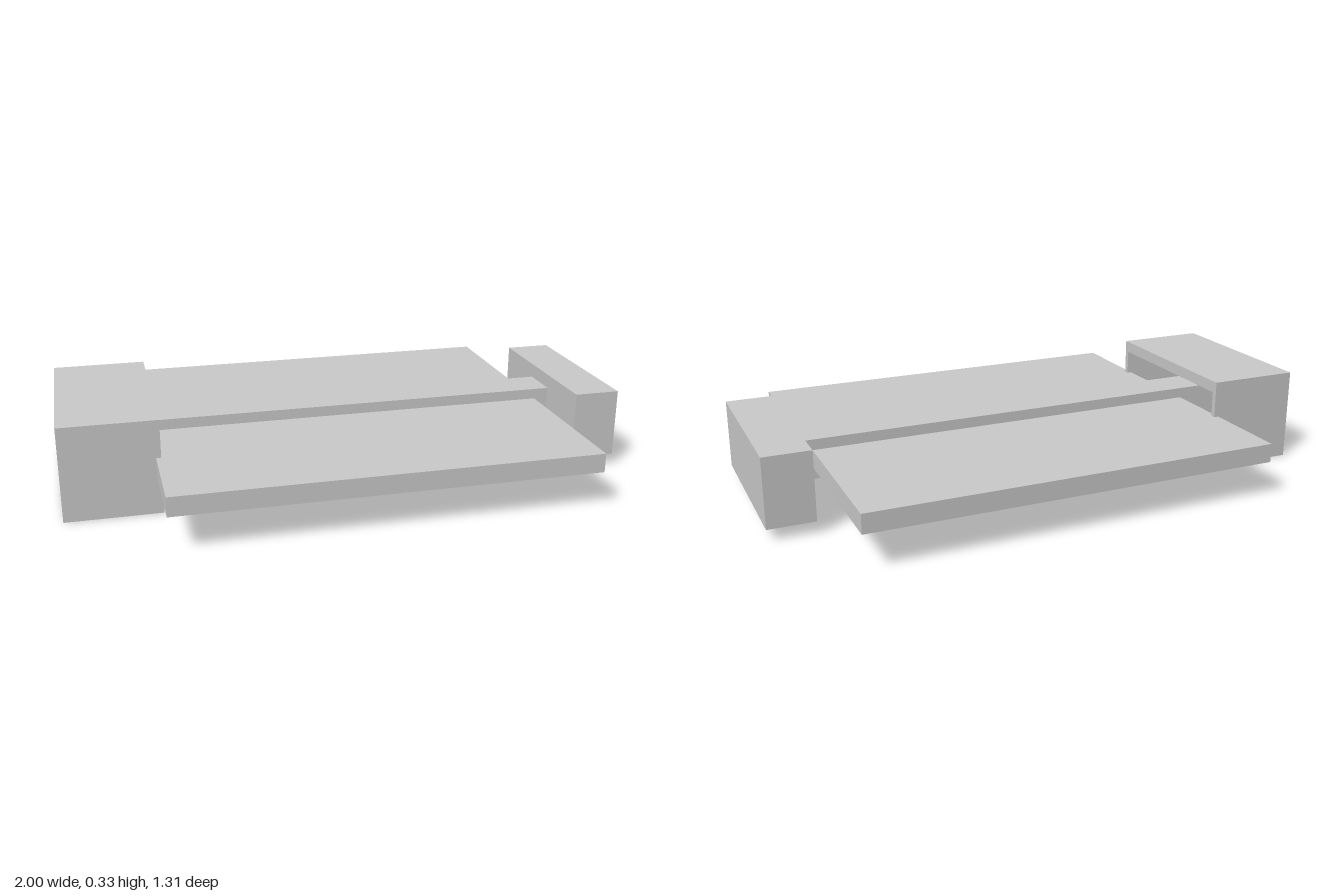
import * as THREE from 'three';

const material = new THREE.MeshStandardMaterial({ color: 0xcccccc, flatShading: true });
const MID = 0.167; // height of the common axis

function add(group, name, geometry) {
  const mesh = new THREE.Mesh(geometry, material);
  mesh.name = name;
  group.add(mesh);
}

// Box spanning x0..x1, centred on the common axis
function bar(x0, x1, height, depth) {
  return new THREE.BoxGeometry(x1 - x0, height, depth).translate((x0 + x1) / 2, MID, 0);
}

// Corners of a rectangle centred on the axis, in the z-y plane
function rectangle(w, h) {
  return [[-1, -1], [1, -1], [1, 1], [-1, 1]].map(
    ([a, b]) => new THREE.Vector2((a * w) / 2, MID + (b * h) / 2));
}

export function createModel() {
  const group = new THREE.Group();

  // Large hollow end block, open toward the small one
  const back = -0.955, mouth = -0.667;
  const frame = new THREE.Shape(rectangle(0.666, 0.334));
  frame.holes.push(new THREE.Path(rectangle(0.626, 0.25).reverse()));
  const sleeve = new THREE.ExtrudeGeometry(frame, { depth: mouth - back, bevelEnabled: false });
  sleeve.rotateY(Math.PI / 2).translate(back, 0, 0);
  add(group, 'socketSleeve', sleeve);
  add(group, 'socketEndWall', bar(-1, back, 0.334, 0.666));

  // Small solid end block
  add(group, 'endBlock', bar(0.835, 1, 0.246, 0.622));

  // Central rod joining the two ends
  add(group, 'centralRod', bar(back, 0.835, 0.143, 0.145));

  // Wide flat panel crossing the rod
  add(group, 'flatPanel', bar(-0.684, 0.782, 0.067, 1.312));

  return group;
}
